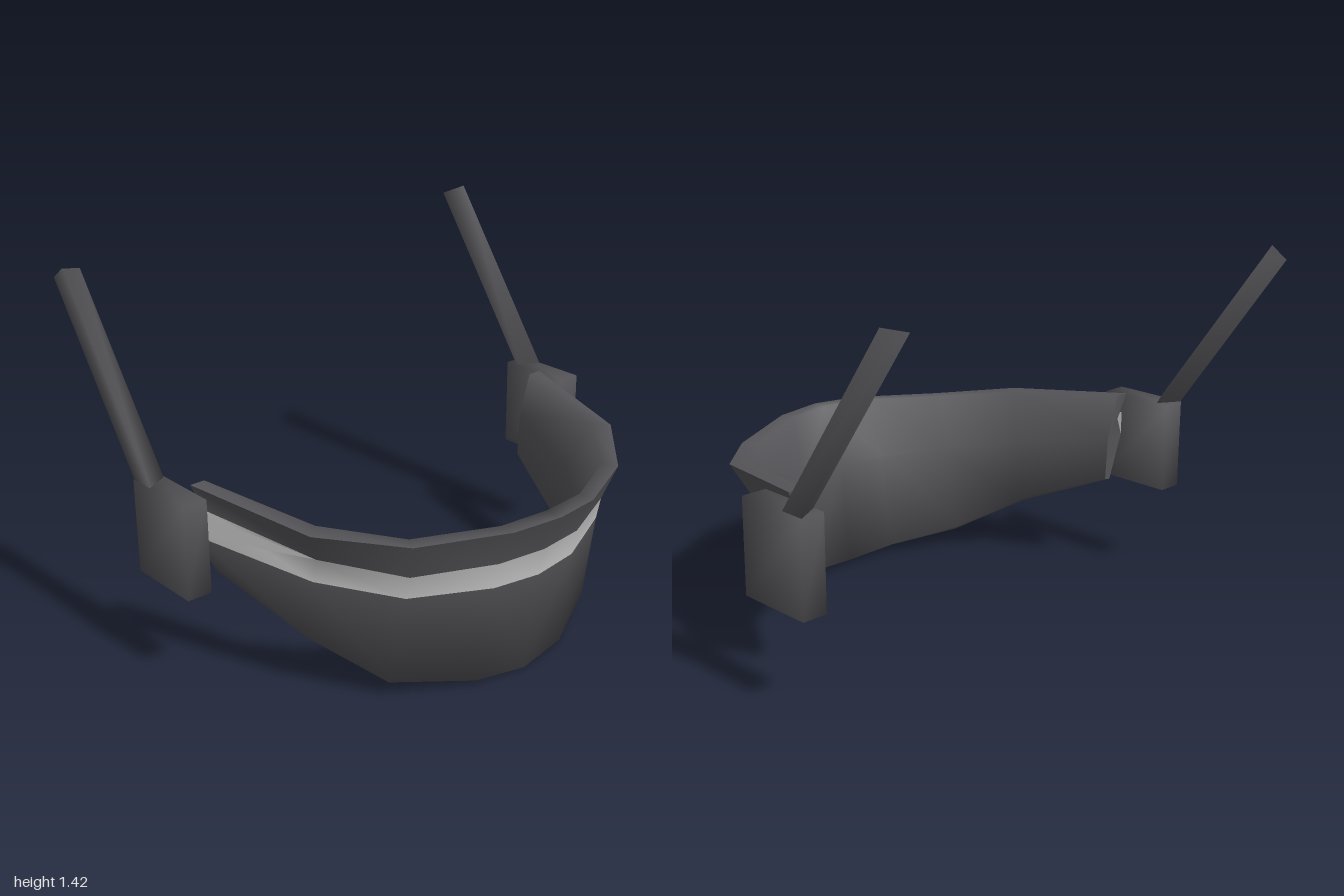
import * as THREE from 'three';
import { mergeVertices } from 'three/addons/utils/BufferGeometryUtils.js';

const darkPlastic = new THREE.MeshStandardMaterial({ color: 0x555458 });
const lightStripe = new THREE.MeshStandardMaterial({ color: 0xcccccc, side: THREE.DoubleSide });

// Soft normals in which every adjoining face counts equally.
function softenEvenly(geometry) {
  const position = geometry.getAttribute('position');
  const index = geometry.getIndex();
  const sums = Array.from({ length: position.count }, () => new THREE.Vector3());
  const triangle = new THREE.Triangle();
  const faceNormal = new THREE.Vector3();
  for (let i = 0; i < index.count; i += 3) {
    const corners = [index.getX(i), index.getX(i + 1), index.getX(i + 2)];
    triangle.setFromAttributeAndIndices(position, ...corners);
    triangle.getNormal(faceNormal);
    corners.forEach((corner) => sums[corner].add(faceNormal));
  }
  const normals = sums.flatMap((sum) => sum.normalize().toArray());
  geometry.setAttribute('normal', new THREE.Float32BufferAttribute(normals, 3));
  return geometry;
}

function indexedGeometry(points, index) {
  const geometry = new THREE.BufferGeometry();
  geometry.setAttribute('position', new THREE.Float32BufferAttribute(points.flat(), 3));
  geometry.setIndex(index);
  return softenEvenly(geometry);
}

// Triangles joining column j to column k along a row of cross-sections with n points;
// the diagonals of the second half mirror those of the first.
function columnFaces(rows, n, j, k) {
  const faces = [];
  for (let i = 0; i < rows - 1; i++) {
    const a = i * n + j, b = i * n + k, c = b + n, d = a + n;
    if (i < (rows - 1) / 2) faces.push(a, b, c, a, c, d);
    else faces.push(a, b, d, b, c, d);
  }
  return faces;
}

// Polygon fanned from its first corner.
function fan(points) {
  const index = [];
  for (let j = 1; j < points.length - 1; j++) index.push(0, j, j + 1);
  return indexedGeometry(points, index);
}

// Box whose corners share normals.
function softBox(w, h, d) {
  const box = new THREE.BoxGeometry(w, h, d);
  box.deleteAttribute('normal');
  box.deleteAttribute('uv');
  return softenEvenly(mergeVertices(box));
}

// Three-sided bar between two triangles, with soft closed ends.
function triangularBar(start, end) {
  const sides = [0, 1, 2].flatMap((j) => columnFaces(2, 3, j, (j + 1) % 3));
  return indexedGeometry([...start, ...end], [...sides, 0, 2, 1, 3, 4, 5]);
}

function addMesh(parent, name, geometry, material) {
  const mesh = new THREE.Mesh(geometry, material);
  mesh.name = name;
  parent.add(mesh);
  return mesh;
}

// Cross-sections from the middle to the left end, each running: upper edge outside,
// stripe top, stripe bottom, lower edge outside, lower edge inside, inner wall, upper edge inside.
const halfSections = [
  [[0, 0.67, 0.81], [0, 0.52, 0.737], [0, 0.41, 0.715], [0, 0, 0.66], [0, 0.02, 0.6], [0, 0.43, 0.64], [0, 0.672, 0.74]],
  [[0.2, 0.665, 0.78], [0.2, 0.518, 0.71], [0.2, 0.415, 0.69], [0.22, 0.018, 0.63], [0.22, 0.035, 0.58], [0.21, 0.43, 0.62], [0.2, 0.667, 0.715]],
  [[0.52, 0.652, 0.62], [0.49, 0.51, 0.57], [0.49, 0.42, 0.55], [0.51, 0.06, 0.48], [0.48, 0.09, 0.44], [0.47, 0.44, 0.485], [0.49, 0.655, 0.565]],
  [[0.76, 0.68, 0.37], [0.7, 0.555, 0.32], [0.7, 0.46, 0.3], [0.69, 0.21, 0.245], [0.64, 0.24, 0.21], [0.65, 0.48, 0.24], [0.7, 0.685, 0.32]],
  [[0.89, 0.735, -0.15], [0.85, 0.63, -0.14], [0.9, 0.55, -0.12], [0.81, 0.375, -0.14], [0.77, 0.385, -0.15], [0.78, 0.56, -0.15], [0.83, 0.735, -0.15]],
];

export function createModel() {
  const model = new THREE.Group();
  model.name = 'faceVisor';

  // Curved visor with a pale stripe; repeating the first point keeps the upper rim crisp
  const mirrored = halfSections.slice(1).reverse()
    .map((ring) => ring.map(([x, y, z]) => [-x, y, z]));
  const rings = [...mirrored, ...halfSections].map((ring) => [...ring, ring[0]]);
  const stripe = columnFaces(rings.length, 8, 1, 2);
  const shell = [0, 2, 3, 4, 5, 6].flatMap((j) => columnFaces(rings.length, 8, j, j + 1));
  const visor = indexedGeometry(rings.flat(), [...shell, ...stripe]);
  visor.addGroup(0, shell.length, 0);
  visor.addGroup(shell.length, stripe.length, 1);
  addMesh(model, 'visor', visor, [darkPlastic, lightStripe]);

  for (const side of [1, -1]) {
    const temple = new THREE.Group();
    temple.name = side > 0 ? 'leftTemple' : 'rightTemple';
    model.add(temple);
    const mirror = (points) => (side > 0
      ? points
      : points.map(([x, y, z]) => [-x, y, z]).reverse());

    // Closed end of the visor
    const [rim, stripeTop, stripeBottom, lowOut, lowIn, inner, rimIn] = halfSections[4];
    const endOutline = [rimIn, rim, stripeTop, stripeBottom, lowOut, lowIn, inner];
    addMesh(temple, 'visorEnd', fan(mirror(endOutline)), darkPlastic);

    // Stripe flaring out to meet the hinge block
    const tab = [halfSections[3][1], stripeBottom, [0.9, 0.645, -0.12]];
    addMesh(temple, 'stripeTab', fan(mirror(tab)), lightStripe);

    // Hinge block
    addMesh(temple, 'hingeBlock', softBox(0.1, 0.365, 0.315), darkPlastic)
      .position.set(side * 0.95, 0.5375, -0.1925);

    // Slanted three-sided arm, with its narrow edge facing inwards
    const [armFoot, armTip] = [[0.65, -0.25], [1.395, -0.779]].map(([y, z]) => mirror([
      [0.995, y + 0.024, z + 0.034],
      [0.995, y - 0.024, z - 0.034],
      [0.905, y, z],
    ]));
    addMesh(temple, 'slantedArm', triangularBar(armFoot, armTip), darkPlastic);
  }
  return model;
}
